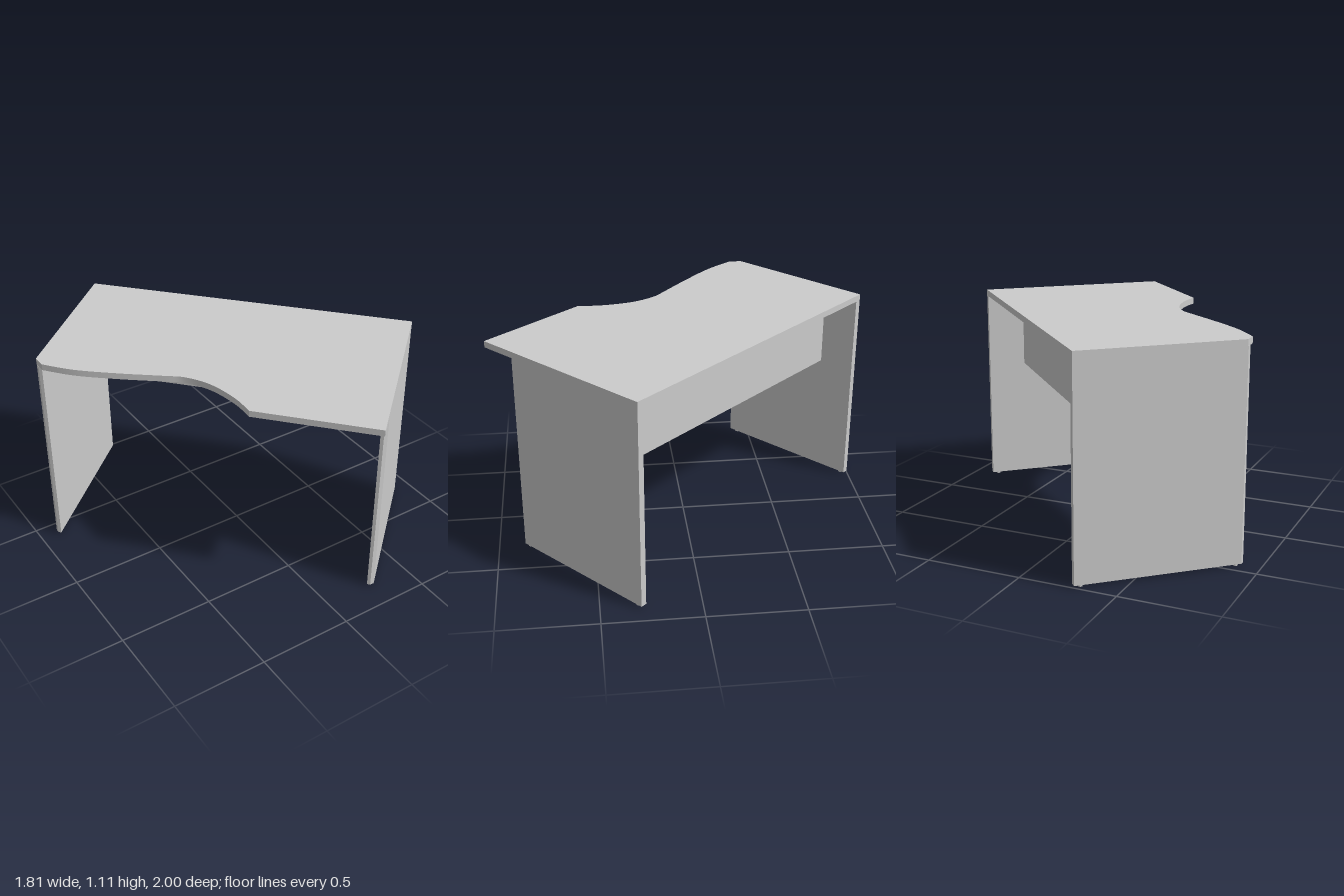
import * as THREE from 'three';
import { toCreasedNormals } from 'three/addons/utils/BufferGeometryUtils.js';

const material = new THREE.MeshStandardMaterial({ color: 0xcccccc });

const LENGTH = 1.762;     // along the back edge
const PANEL = 0.033;      // side panel thickness
const DEPTH = 0.853;      // side panel depth
const CHAMFER = 0.016;
const TOP_Y = 1.11, UNDER_Y = 1.077, BASE_Y = 0.01;

const mesh = (name, geometry) => {
  const m = new THREE.Mesh(geometry, material);
  m.name = name;
  return m;
};

// Extrudes a plan outline (x, z) downwards from yTop to yBottom
const slab = (shape, yTop, yBottom) => {
  const g = new THREE.ExtrudeGeometry(shape, { depth: yTop - yBottom, bevelEnabled: false });
  g.rotateX(Math.PI / 2).translate(0, yTop, 0);
  return toCreasedNormals(g, 0.5);
};

const points = (list) => list.map(([x, z]) => new THREE.Vector2(x, z));

// Desktop with a wavy cut-out on the user's side
function makeTop() {
  const shape = new THREE.Shape();
  shape.moveTo(-0.287, -1);
  shape.lineTo(0.903, 0.3);
  shape.lineTo(0.144, 1);
  shape.lineTo(-0.28, 0.53);
  const wave = new THREE.SplineCurve(points([
    [-0.28, 0.53], [-0.277, 0.4], [-0.308, 0.24], [-0.375, 0.12], [-0.455, 0.05],
    [-0.624, -0.087], [-0.79, -0.235], [-0.903, -0.372],
  ]));
  wave.getPoints(48).slice(1).forEach((p) => shape.lineTo(p.x, p.y));
  shape.lineTo(-0.903, -0.44);
  shape.closePath();
  return mesh('desktop', slab(shape, TOP_Y, UNDER_Y));
}

// Side panel with a chamfered outer front edge, on two small feet
function makeSide(name, mirrored) {
  const side = new THREE.Group();
  side.name = name;
  const fx = (x) => (mirrored ? LENGTH - x : x);
  const outline = [
    [0, 0], [PANEL, 0], [PANEL, DEPTH], [CHAMFER, DEPTH], [0, DEPTH - CHAMFER],
  ].map(([x, z]) => [fx(x), z]);
  side.add(mesh('sidePanel', slab(new THREE.Shape(points(outline)), UNDER_Y, BASE_Y)));
  for (const z of [0.035, DEPTH - 0.04]) {
    const foot = mesh('foot', new THREE.CylinderGeometry(0.011, 0.011, BASE_Y, 16));
    foot.position.set(fx(PANEL / 2), BASE_Y / 2, z);
    side.add(foot);
  }
  return side;
}

export function createModel() {
  const desk = new THREE.Group();
  desk.name = 'desk';
  desk.add(makeTop());

  // Frame turned to follow the diagonal back edge
  const frame = new THREE.Group();
  frame.name = 'frame';
  frame.position.set(-0.287, 0, -1);
  frame.rotation.y = -Math.atan2(1.3, 1.19);
  frame.add(makeSide('rightSide', false), makeSide('leftSide', true));

  // Modesty panel between the sides
  const height = UNDER_Y - 0.67;
  const modesty = mesh('modestyPanel', new THREE.BoxGeometry(LENGTH - 2 * PANEL, height, 0.02));
  modesty.position.set(LENGTH / 2, 0.67 + height / 2, 0.214);
  frame.add(modesty);

  desk.add(frame);
  return desk;
}
